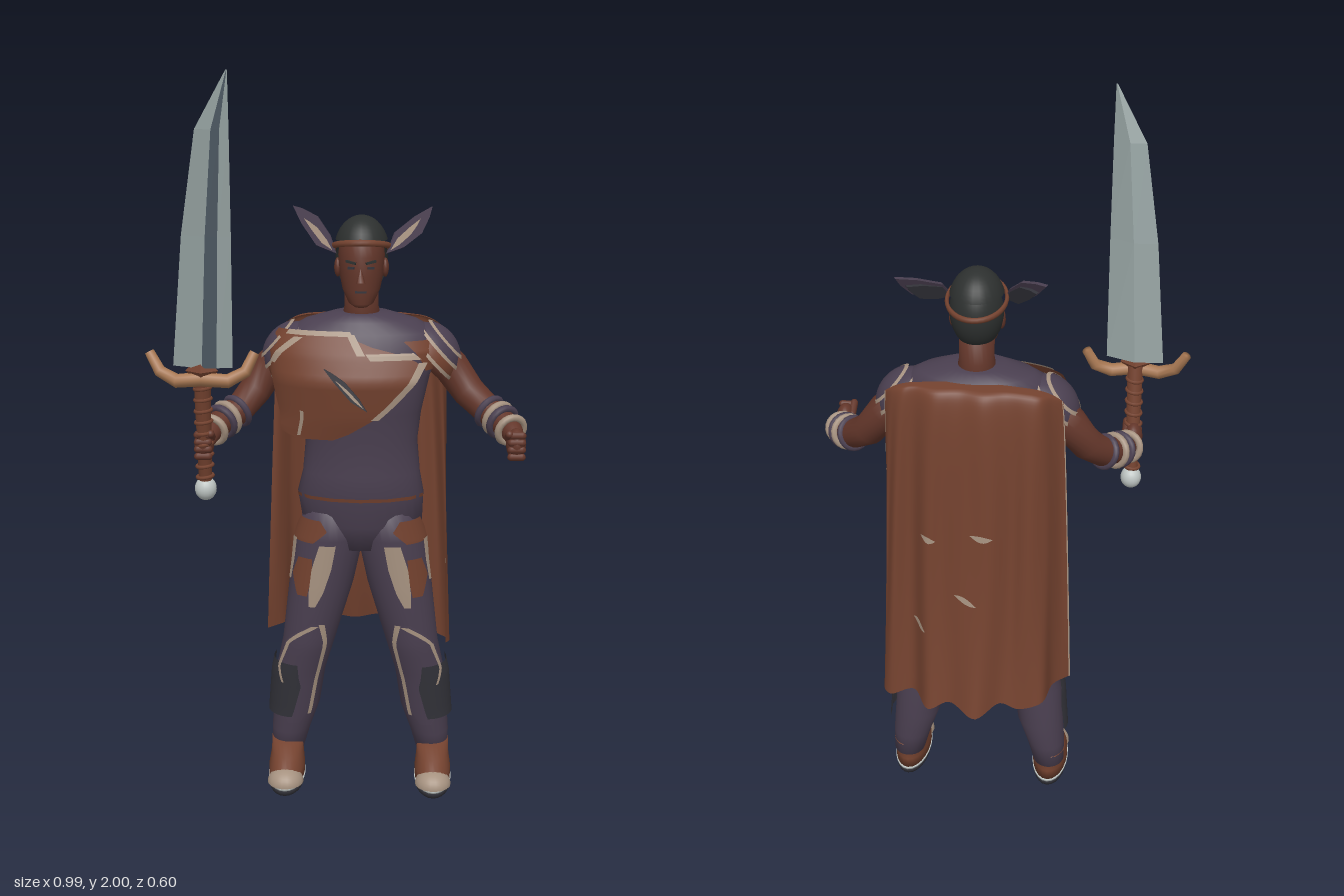
import * as THREE from 'three';

const V = (x, y, z) => new THREE.Vector3(x, y, z);
const mat = (name, color) => new THREE.MeshStandardMaterial({ name, color, side: THREE.DoubleSide });
const M = {
  skin: mat('skin', 0x63362a), brown: mat('brown cloth', 0x74422f), purple: mat('dark purple cloth', 0x4a3f50),
  cream: mat('cream trim', 0xa69280), horn: mat('tan horn', 0xa87853), steel: mat('steel', 0x96a3a2),
  dark: mat('dark steel', 0x4c5862), hair: mat('black hair', 0x2d302f), coal: mat('charcoal', 0x33333a),
  pale: mat('pale stone', 0xbfc6c4),
};

function add(parent, name, geo, material, pos, scale, rot) {
  const m = new THREE.Mesh(geo, material);
  m.name = name;
  if (pos) m.position.set(...pos);
  if (scale) m.scale.set(...scale);
  if (rot) m.rotation.set(...rot);
  parent.add(m);
  return m;
}

function geometry(pos, idx) {
  const g = new THREE.BufferGeometry();
  g.setAttribute('position', new THREE.Float32BufferAttribute(pos, 3));
  g.setIndex(idx);
  g.computeVertexNormals();
  return g;
}

// Closed skin over elliptical sections [x, y, z, ra, rb]; level rings, or rings square to the path
function loft(sections, square = false, n = 24) {
  const pos = [], idx = [], c = sections.map(s => V(s[0], s[1], s[2])), last = c.length - 1;
  sections.forEach((s, i) => {
    let u = V(0, 0, 1), v = V(1, 0, 0), a = s[4] ?? s[3], b = s[3];
    if (square) {
      const t = c[Math.min(i + 1, last)].clone().sub(c[Math.max(i - 1, 0)]).normalize();
      u = V(0, 1, 0).cross(t).normalize();
      v = t.clone().cross(u);
    }
    for (let j = 0; j < n; j++) {
      const w = j / n * Math.PI * 2;
      pos.push(...c[i].clone().addScaledVector(u, a * Math.cos(w)).addScaledVector(v, b * Math.sin(w)));
    }
  });
  pos.push(...c[0], ...c[last]);
  for (let j = 0; j < n; j++) {
    const k = (j + 1) % n, e = last * n;
    for (let i = 0; i < last; i++) {
      const o = i * n;
      idx.push(o + j, o + k, o + n + j, o + k, o + n + k, o + n + j);
    }
    idx.push(e + n, k, j, e + n + 1, e + j, e + k);
  }
  return geometry(pos, idx);
}

// Grid surface from a function of u, v
function sheet(f, nu, nv) {
  const pos = [], idx = [];
  for (let i = 0; i <= nv; i++) for (let j = 0; j <= nu; j++) pos.push(...f(j / nu, i / nv));
  for (let i = 0; i < nv; i++) for (let j = 0; j < nu; j++) {
    const a = i * (nu + 1) + j, c = a + nu + 1;
    idx.push(a, c, a + 1, a + 1, c, c + 1);
  }
  return geometry(pos, idx);
}

function rowAt(rows, key, y) {
  let i = 0;
  const up = rows[0][key] < rows[rows.length - 1][key];
  while (i < rows.length - 2 && (up ? rows[i + 1][key] < y : rows[i + 1][key] > y)) i++;
  const t = (y - rows[i][key]) / (rows[i + 1][key] - rows[i][key]);
  return rows[i].map((a, k) => a + (rows[i + 1][k] - a) * t);
}

// Thin plate wrapped on a loft; rows are [y, from, to] top down, in degrees from the front, mirrored by s
function plate(rows, sections, off, s = 1) {
  const y0 = rows[0][0], y1 = rows[rows.length - 1][0];
  return sheet((u, v) => {
    const y = y0 + (y1 - y0) * v, r = rowAt(rows, 0, y), c = rowAt(sections, 1, y);
    const a = (r[1] + (r[2] - r[1]) * (s > 0 ? u : 1 - u)) * Math.PI / 180;
    return [c[0] + s * (c[3] + off) * Math.sin(a), y, c[2] + (c[4] + off) * Math.cos(a)];
  }, 14, 16);
}

// Pointed feather between two points, with a pale vane on its face
function feather(parent, name, from, to, w, face, body, vane) {
  const d = to.clone().sub(from), len = d.length(), g = new THREE.Group();
  const leaf = k => new THREE.Shape([[0, 0], [.7, .25], [1, .6], [.5, .85], [0, 1], [-.5, .7], [-.8, .3]]
    .map(p => new THREE.Vector2(p[0] * w * k, p[1] * len * (.5 + k / 2))));
  d.normalize();
  const side = d.clone().cross(face).normalize(), n = side.clone().cross(d);
  add(g, name + 'Blade', new THREE.ExtrudeGeometry(leaf(1), { depth: .008, bevelEnabled: false }), body);
  add(g, name + 'Vane', new THREE.ShapeGeometry(leaf(.35)), vane, [0, .01, .010]);
  g.applyMatrix4(new THREE.Matrix4().makeBasis(side, d, n).setPosition(from));
  g.name = name;
  parent.add(g);
}

const ball = (a = 20, b = 14, ...r) => new THREE.SphereGeometry(1, a, b, ...r);

function buildHead(b) {
  add(b, 'neck', loft([[0, 1.3, -.05, .06, .06], [0, 1.38, -.045, .046, .05], [0, 1.45, -.04, .046, .05]]), M.skin);
  add(b, 'head', loft([[0, 1.387, .022, .016, .016], [0, 1.397, .012, .033, .035], [0, 1.43, -.012, .05, .06],
    [0, 1.47, -.022, .058, .074], [0, 1.52, -.027, .062, .078], [0, 1.56, -.03, .057, .07], [0, 1.585, -.033, .04, .05]]), M.skin);
  add(b, 'nose', new THREE.ConeGeometry(.012, .042, 8), M.skin, [0, 1.475, .053], null, [-.2, 0, 0]);
  add(b, 'mouth', new THREE.BoxGeometry(.03, .005, .008), M.coal, [0, 1.43, .046]);
  for (const s of [-1, 1]) {
    add(b, 'ear', ball(12, 8), M.skin, [s * .063, 1.485, -.03], [.01, .026, .017]);
    add(b, 'eyebrow', new THREE.BoxGeometry(.028, .006, .008), M.hair, [s * .026, 1.508, .046], null, [0, s * .35, s * .2]);
    add(b, 'eye', new THREE.BoxGeometry(.018, .006, .006), M.coal, [s * .026, 1.493, .046], null, [0, s * .35, 0]);
    feather(b, 'headFeather', V(s * .065, 1.525, .005), V(s * .185, 1.632, -.145), .03, V(s * .35, .25, .9), M.purple, M.cream);
    feather(b, 'rearFeather', V(s * .07, 1.53, -.005), V(s * .16, 1.605, -.13), .024, V(s * .6, .2, .8), M.coal, M.brown);
  }
  add(b, 'hairTop', ball(24, 10, 0, Math.PI * 2, 0, 1.25), M.hair, [0, 1.53, -.033], [.073, .093, .086]);
  add(b, 'hairBack', ball(20, 14, Math.PI + .1, Math.PI - .2, .8, 1.75), M.hair, [0, 1.51, -.033], [.07, .1, .084]);
  add(b, 'circlet', new THREE.TorusGeometry(1, .07, 8, 36), M.brown, [0, 1.54, -.033], [.076, .092, .12], [Math.PI / 2 - .22, 0, 0]);
}

const TORSO = [[0, .71, -.035, .09, .07], [.005, .78, -.033, .165, .088], [0, .87, -.02, .173, .093], [.002, .93, -.016, .16, .088],
  [.002, 1.02, -.015, .152, .086], [0, 1.1, -.008, .163, .092], [0, 1.2, -.008, .185, .103], [0, 1.27, -.027, .212, .105],
  [0, 1.315, -.042, .205, .098], [0, 1.345, -.045, .15, .085], [0, 1.365, -.045, .075, .062]];
const DRAPE = [[-.02, 1.03, 0, .22, .09], [0, 1.1, 0, .23, .11], [0, 1.2, 0, .24, .125], [0, 1.27, -.015, .245, .11], [0, 1.34, -.04, .22, .085]];

function buildTorso(b) {
  add(b, 'tunic', loft(TORSO, false, 32), M.purple);
  add(b, 'belt', plate([[.87, -180, 180], [.86, -180, 180]], TORSO, .003), M.brown);
  add(b, 'chestDrape', plate([[1.325, -75, -7], [1.3, -85, -3], [1.27, -90, 26], [1.24, -90, 44], [1.2, -78, 36],
    [1.13, -70, 19], [1.05, -62, -7], [1.04, -45, -14]], DRAPE, .003), M.brown);
  // Frayed pale edges of the chest cloth: neckline, lower edge and tears
  const trims = [[[1.327, -55, -7], [1.315, -58, -5]], [[1.32, -9, -4], [1.27, -2, 3]], [[1.275, 3, 34], [1.258, 6, 40]],
    [[1.25, 38, 45], [1.2, 31, 37], [1.13, 15, 20], [1.1, 7, 12]], [[1.31, -48, -40], [1.24, -76, -66]], [[1.12, -42, -39], [1.05, -42, -39]]];
  trims.forEach(t => add(b, 'chestTrim', plate(t, DRAPE, .007), M.cream));
  add(b, 'sideTear', plate([[1.3, 32, 58], [1.27, 42, 70], [1.22, 60, 75]], TORSO, .006), M.brown);
  feather(b, 'chestFeather', V(.02, 1.13, .142), V(-.095, 1.24, .118), .014, V(0, .1, 1), M.coal, M.cream);
  // Overlapping shoulder guards with pale rims
  for (const s of [-1, 1]) [[.105, .7, M.purple], [.1, 1.02, M.purple], [.095, 1.34, M.brown]].forEach(([r, t, m]) => {
    const p = [s * .165, 1.235, -.045], k = [r, r, r * .92], turn = [0, 0, -s * .85];
    add(b, 'shoulderGuard', ball(24, 8, 0, Math.PI * 2, 0, t), m, p, k, turn);
    add(b, 'shoulderTrim', ball(24, 2, 0, Math.PI * 2, t - .09, .1), M.cream, p, k.map(v => v * 1.02), turn);
  });
}

function buildLeg(b, s) {
  const g = new THREE.Group();
  g.name = s < 0 ? 'rightLeg' : 'leftLeg';
  const leg = [[.21, .07, -.07, .045, .05], [.2, .14, -.066, .055, .06], [.183, .22, -.062, .066, .067], [.17, .33, -.05, .07, .072],
    [.145, .43, -.038, .074, .078], [.11, .6, -.037, .09, .086], [.085, .74, -.035, .095, .088], [.075, .82, -.03, .08, .08]]
    .map(a => [a[0] * s, ...a.slice(1)]);
  add(g, 'trouserLeg', loft(leg), M.purple);
  const put = (name, rows, off, m) => add(g, name, plate(rows, leg, off, s), m);
  // Worn thigh patches
  put('thighPatch', [[.8, 20, 75], [.77, 5, 85], [.735, 25, 80]], .006, M.brown);
  put('thighPatch', [[.69, 22, 50], [.64, 18, 60], [.58, 20, 40]], .006, M.brown);
  put('thighBadge', [[.73, -12, 14], [.66, -12, 20], [.59, -6, 18], [.55, 2, 14]], .007, M.cream);
  put('thighTrim', [[.74, 62, 80], [.68, 60, 72], [.62, 62, 70]], .007, M.cream);
  // Knee and shin guards
  put('kneeGuard', [[.5, -18, 5], [.45, -32, 45], [.34, -36, 65], [.25, -36, 50], [.18, -15, 10]], .012, M.purple);
  put('shinGuard', [[.37, 10, 110], [.3, -5, 120], [.2, 5, 115]], .014, M.coal);
  put('guardTrim', [[.5, -20, -10], [.44, -35, -27], [.34, -38, -30], [.21, -34, -26]], .017, M.cream);
  put('guardTrim', [[.495, -12, 2], [.47, 12, 24], [.44, 35, 43], [.36, 45, 52], [.31, 30, 35]], .017, M.cream);
  // Shoe, toe cap, welt and sole
  const x = s * .21;
  add(g, 'sole', loft([[x, 0, -.007, .05, .114], [x, .016, -.007, .052, .117]]), M.coal);
  add(g, 'welt', loft([[x, .016, -.007, .053, .118], [x, .022, -.007, .053, .118]]), M.pale);
  add(g, 'shoe', loft([[x, .022, -.008, .051, .113], [x, .05, -.012, .051, .106], [x, .08, -.04, .046, .078], [x, .11, -.066, .046, .056]]), M.brown);
  add(g, 'toeCap', ball(18, 10, 0, Math.PI * 2, 0, 1.57), M.cream, [x, .022, .058], [.051, .042, .052]);
  b.add(g);
}

function buildArm(root, name, path, hand) {
  const g = new THREE.Group();
  g.name = name;
  add(g, 'arm', loft(path, true, 18), M.skin);
  const curve = new THREE.CatmullRomCurve3(path.map(p => V(...p)));
  [[.52, .04, M.purple], [.62, .041, M.cream], [.68, .041, M.purple], [.8, .037, M.cream]].forEach(([t, r, m]) => {
    const ring = add(g, 'bracelet', new THREE.TorusGeometry(r, .01, 8, 20), m, curve.getPoint(t).toArray());
    ring.lookAt(ring.position.clone().add(curve.getTangent(t)));
  });
  add(g, 'fist', ball(), M.skin, hand, [.026, .042, .036]);
  for (let i = 0; i < 4; i++)
    add(g, 'finger', new THREE.CapsuleGeometry(.01, .028, 4, 8), M.skin, [hand[0], hand[1] + .029 - i * .019, hand[2] + .026], null, [0, 0, Math.PI / 2]);
  add(g, 'thumb', new THREE.CapsuleGeometry(.011, .035, 4, 8), M.skin, [hand[0] + (hand[0] < 0 ? .02 : -.02), hand[1] + .025, hand[2] + .012], null, [1.1, 0, 0]);
  root.add(g);
}

function buildSword(root) {
  const g = new THREE.Group();
  g.name = 'sword';
  add(g, 'grip', loft([[-.35, .94, .163, .017, .017], [-.345, 1.25, .222, .022, .022]], false, 14), M.brown);
  for (let i = 0; i < 9; i++)
    add(g, 'gripWrap', new THREE.TorusGeometry(.021, .005, 6, 16), M.brown, [-.35 + i * .0006, .96 + i * .031, .167 + i * .0058], null, [Math.PI / 2, .12, 0]);
  add(g, 'pommel', ball(), M.pale, [-.35, .925, .162], [.029, .032, .029]);
  const guard = [[-.482, 1.298, .195], [-.455, 1.25, .207], [-.41, 1.228, .222], [-.345, 1.235, .23], [-.28, 1.228, .222], [-.235, 1.25, .207], [-.212, 1.298, .195]];
  add(g, 'crossGuard', loft(guard.map((p, i) => [...p, .013 + .006 * Math.sin(i / 6 * Math.PI)]), true, 10), M.horn);
  add(g, 'guardBlock', new THREE.OctahedronGeometry(.042), M.brown, [-.345, 1.255, .224], [1, 1.1, .75]);
  // Blade: faceted strips between edge, ridge and back lines; [y, xl, zl, xr, zr, thickness]
  const cuts = [[1.265, -.42, .208, -.265, .232, 1], [1.6, -.388, .23, -.26, .262, 1], [1.86, -.345, .258, -.258, .286, .75], [2, -.262, .296, -.258, .298, .05]];
  const line = (t, d) => cuts.map(c => V(c[1] + (c[3] - c[1]) * t, c[0], c[2] + (c[4] - c[2]) * t + d * c[5]));
  const L = line(0, 0), F1 = line(.5, .022), F2 = line(.74, .013), R = line(1, 0), B = line(.5, -.02);
  [[L, F1, M.steel, 'bladeFace'], [F1, F2, M.dark, 'bladeFuller'], [F2, R, M.steel, 'bladeFace'], [R, B, M.steel, 'bladeBack'], [B, L, M.steel, 'bladeBack']]
    .forEach(([p, q, m, name]) => {
      const pos = [];
      for (let i = 0; i < 3; i++) for (const v of [p[i], q[i], q[i + 1], p[i], q[i + 1], p[i + 1]]) pos.push(...v);
      add(g, name, geometry(pos, [...Array(18).keys()]), m);
    });
  root.add(g);
}

function buildCape(root) {
  const curve = (pts) => new THREE.CatmullRomCurve3(pts.map(p => V(p[0], p[2] ?? 0, p[1])));
  const top = curve([[-.175, -.115], [-.1, -.125], [.05, -.118], [.21, -.125], [.285, -.115]]);
  const hem = curve([[-.215, -.115, .42], [-.17, -.16, .42], [-.145, -.235, .41], [-.08, -.245, .39], [-.03, -.25, .41], [.035, -.298, .385], [.11, -.262, .41],
    [.17, -.27, .385], [.22, -.205, .4], [.29, -.2, .37], [.313, -.17, .37], [.3, -.115, .38]]);
  const at = (u, v, off = 0) => {
    const a = top.getPoint(u), h = hem.getPoint(u), w = .66 * Math.pow(v, .15) + .34 * v * v * v;
    const y = 1.345 - .04 * Math.pow(Math.abs(2 * u - 1), 3), fold = .007 * Math.sin(u * 44) * Math.sin(v * Math.PI);
    return [a.x + (h.x - a.x) * (.4 * Math.sqrt(v) + .6 * v), y + (h.y - y) * v, a.z + (h.z - a.z) * w + fold - off];
  };
  add(root, 'cape', sheet((u, v) => at(1 - u, Math.pow(v, 1.8)), 80, 40), M.brown);
  // Worn marks and pale side hems
  [[.4, .42, .09], [.62, .44, .07], [.46, .63, .08], [.66, .74, .07]].forEach(([u, v, w]) =>
    add(root, 'capeWear', sheet((i, j) => at(u + w * (1 - i), v + .02 * (j - .5) * Math.sin(i * Math.PI) + .012 * i, .004), 8, 2), M.cream));
  [0, .992].forEach(u => add(root, 'capeHem', sheet((i, j) => at(u + .008 * (1 - i), j, .002), 1, 24), M.cream));
}

export function createModel() {
  const root = new THREE.Group(), body = new THREE.Group();
  root.name = 'caped swordsman';
  body.name = 'body';
  body.position.x = .055;
  root.add(body);
  buildHead(body);
  buildTorso(body);
  [-1, 1].forEach(s => buildLeg(body, s));
  buildArm(root, 'rightArm', [[-.14, 1.26, -.055, .05], [-.19, 1.21, -.06, .048], [-.235, 1.145, -.045, .044], [-.275, 1.1, -.005, .04],
    [-.315, 1.08, .045, .038], [-.342, 1.062, .1, .029], [-.35, 1.05, .15, .024]], [-.35, 1.05, .172]);
  buildArm(root, 'leftArm', [[.25, 1.26, -.055, .05], [.3, 1.21, -.055, .048], [.348, 1.145, -.04, .044], [.397, 1.105, 0, .04],
    [.432, 1.085, .045, .038], [.458, 1.068, .095, .029], [.463, 1.06, .14, .024]], [.462, 1.055, .17]);
  buildSword(root);
  buildCape(root);
  return root;
}
